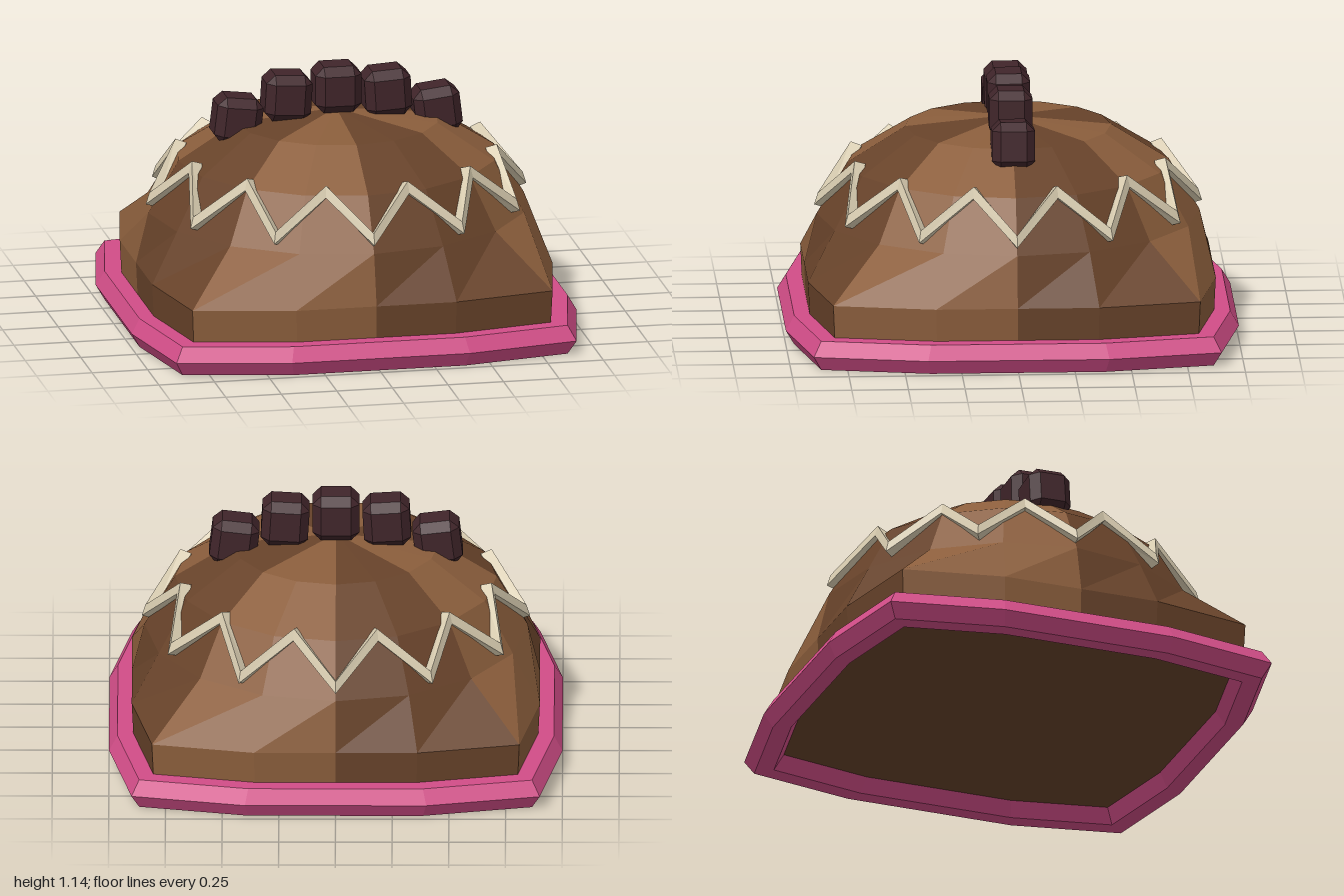
import * as THREE from 'three';
import { ConvexGeometry } from 'three/addons/geometries/ConvexGeometry.js';

const mat = (name, color) => {
  const m = new THREE.MeshStandardMaterial({ color });
  m.name = name;
  return m;
};

// Faceted surface through closed horizontal loops; filter picks which columns to build
function loft(loops, closeProfile, filter = () => true) {
  const pos = [];
  const n = loops[0].length;
  const rows = closeProfile ? loops.length : loops.length - 1;
  for (let k = 0; k < rows; k++) {
    const lo = loops[k], hi = loops[(k + 1) % loops.length];
    for (let i = 0; i < n; i++) {
      if (!filter(i)) continue;
      const j = (i + 1) % n;
      pos.push(...lo[i], ...lo[j], ...hi[j], ...lo[i], ...hi[j], ...hi[i]);
    }
  }
  const g = new THREE.BufferGeometry();
  g.setAttribute('position', new THREE.Float32BufferAttribute(pos, 3));
  g.computeVertexNormals();
  return g;
}

// Bulging square outline, starting at the front and running toward +x
function squareLoop(scale, y, withMiddles) {
  const quarter = [[0, 1], [0.4, 1], [0.9, 0.9], [1, 0.4]];
  const loop = [];
  for (let q = 0; q < 4; q++) {
    const c = Math.round(Math.cos(q * Math.PI / 2)), s = Math.round(Math.sin(q * Math.PI / 2));
    for (const [x, z] of withMiddles ? quarter : quarter.slice(1)) {
      loop.push([scale * (x * c + z * s), y, scale * (z * c - x * s)]);
    }
  }
  return loop;
}

const roundLoop = (r, y, n) => Array.from({ length: n }, (_, i) => {
  const a = i / n * Math.PI * 2;
  return [r * Math.sin(a), y, r * Math.cos(a)];
});

// Box with every edge and corner cut
function chamferedBox(w, h, d, c) {
  const pts = [];
  for (const x of [-1, 1]) for (const y of [-1, 1]) for (const z of [-1, 1]) {
    for (let full = 0; full < 3; full++) {
      pts.push(new THREE.Vector3(
        x * (w / 2 - (full === 0 ? 0 : c)),
        y * (h / 2 - (full === 1 ? 0 : c)),
        z * (d / 2 - (full === 2 ? 0 : c))));
    }
  }
  return new ConvexGeometry(pts);
}

export function createModel() {
  const model = new THREE.Group();
  model.name = 'decoratedDome';
  const light = mat('light brown', 0x8b5e3c);
  const dark = mat('dark brown', 0x68432a);
  const pink = mat('pink', 0xd14d87);
  const cream = mat('cream', 0xd8ccb0);
  const ridge = mat('dark maroon', 0x40252a);

  const add = (name, geometry, material, parent = model) => {
    const m = new THREE.Mesh(geometry, material);
    m.name = name;
    parent.add(m);
    return m;
  };

  // Dome: square foot blending into a round top, in alternating eighths
  const base = squareLoop(0.89, 0.065, true);
  const dome = [
    base,
    squareLoop(0.9, 0.275, true),
    roundLoop(0.845, 0.5, 16),
    roundLoop(0.71, 0.73, 16),
    roundLoop(0.455, 0.89, 16),
    roundLoop(0, 0.935, 16),
  ];
  add('domeDarkWedges', loft(dome, false, i => (i >> 1) % 2 === 0), dark);
  add('domeLightWedges', loft(dome, false, i => (i >> 1) % 2 === 1), light);
  add('underside', loft([roundLoop(0, 0.065, 16), base], false), dark);

  // Hexagonal border tube around the foot
  const border = Array.from({ length: 6 }, (_, k) => {
    const a = k * Math.PI / 3;
    return squareLoop(0.925 + 0.075 * Math.cos(a), 0.065 + 0.075 * Math.sin(a), false);
  });
  add('border', loft(border, true), pink);

  // Zigzag band with a four-sided section leaning along the dome
  const zigzag = [[0.026, -0.018], [0.01, 0.034], [-0.04, 0.018], [-0.026, -0.034]].map(([dr, dy]) =>
    Array.from({ length: 24 }, (_, i) => {
      const a = i / 24 * Math.PI * 2;
      const r = (i % 2 ? 0.7 : 0.83) + dr;
      return [r * Math.sin(a), (i % 2 ? 0.745 : 0.558) + dy, r * Math.cos(a)];
    }));
  add('zigzagBand', loft(zigzag, true), cream);

  // Row of crest blocks following the top
  const crest = new THREE.Group();
  crest.name = 'crest';
  model.add(crest);
  const block = chamferedBox(0.208, 0.21, 0.19, 0.038);
  const heights = [1.033, 1.005, 0.912];
  for (let i = -2; i <= 2; i++) {
    const b = add('crestBlock', block, ridge, crest);
    b.position.set(i * 0.224, heights[Math.abs(i)], 0);
    b.rotation.z = i * 0.06;
  }
  return model;
}
